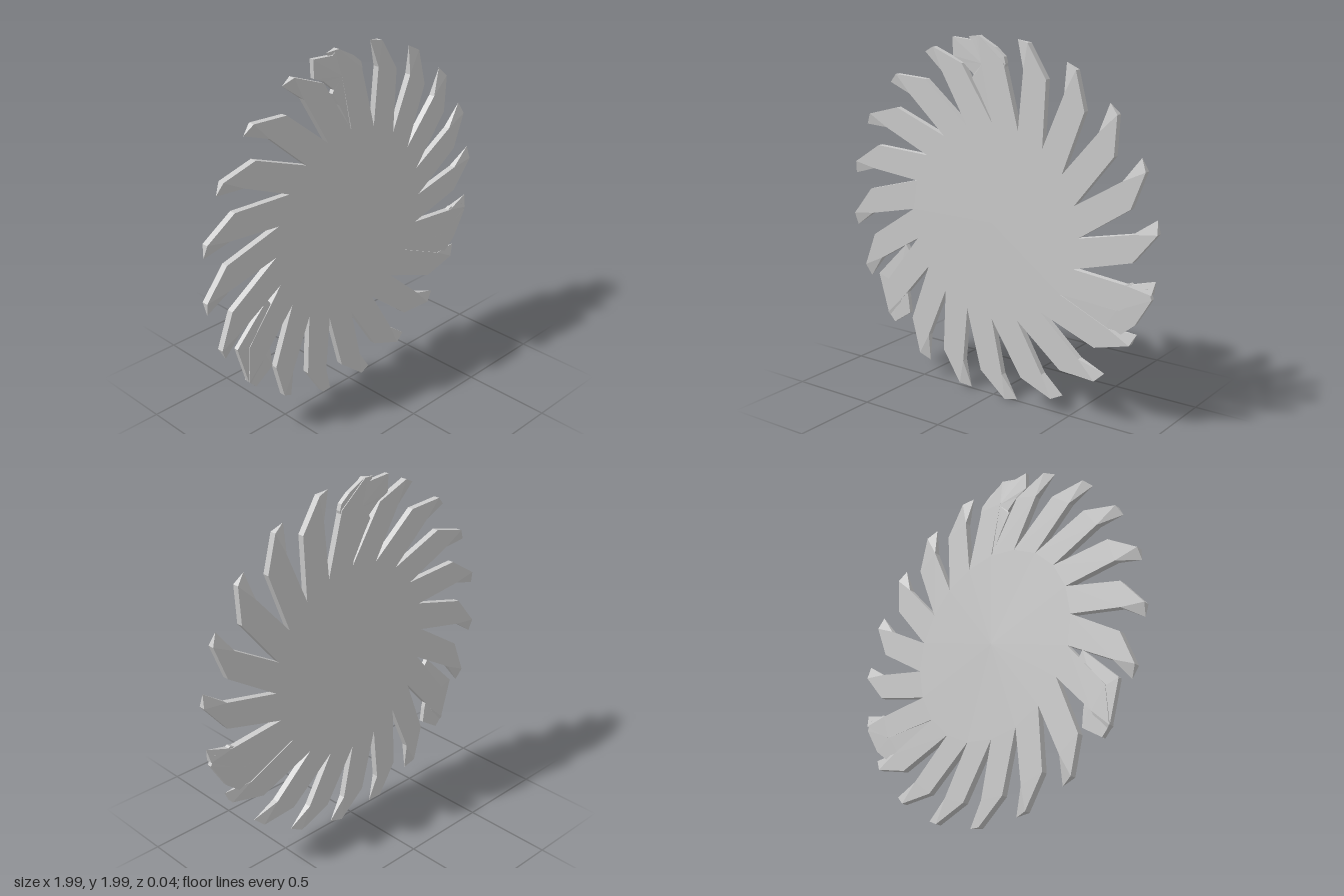
import * as THREE from 'three';

const HALF = 0.018; // half of the plate thickness
const COUNT = 20;
const STEP = (Math.PI * 2) / COUNT;
const material = new THREE.MeshStandardMaterial({ color: 0xcccccc, flatShading: true });

// Flat plate: points [x, y, halfThickness], front triangles, and the outline edges that get a wall
function plate(points, triangles, edges) {
  const pos = [];
  const put = (i, side) => pos.push(points[i][0], points[i][1], points[i][2] * side);
  for (const [a, b, c] of triangles) {
    put(a, 1); put(b, 1); put(c, 1);
    put(a, -1); put(c, -1); put(b, -1);
  }
  for (const [a, b] of edges) {
    put(a, -1); put(b, -1); put(b, 1);
    put(a, -1); put(b, 1); put(a, 1);
  }
  const geometry = new THREE.BufferGeometry();
  geometry.setAttribute('position', new THREE.Float32BufferAttribute(pos, 3));
  geometry.computeVertexNormals();
  return geometry;
}

const polar = (radius, degrees, half = HALF) => {
  const a = THREE.MathUtils.degToRad(degrees);
  return [Math.cos(a) * radius, Math.sin(a) * radius, half];
};

// Plate fanned around a thick middle, with a thinner rim
function fan(outline, centre, rimHalf, walled) {
  const n = outline.length;
  const points = [...outline.map(([x, y]) => [x, y, rimHalf]), [...centre, HALF]];
  const triangles = outline.map((_, i) => [i, (i + 1) % n, n]);
  const edges = walled ? outline.map((_, i) => [i, (i + 1) % n]) : [];
  return plate(points, triangles, edges);
}

function addMesh(parent, name, geometry) {
  const mesh = new THREE.Mesh(geometry, material);
  mesh.name = name;
  parent.add(mesh);
  return mesh;
}

export function createModel() {
  const model = new THREE.Group();
  model.name = 'bladedWheel';

  const wheel = new THREE.Group();
  wheel.name = 'wheel';
  wheel.position.y = 1;
  model.add(wheel);

  // Hub: a flat polygon whose corners are the valleys between the blades
  const valleys = Array.from({ length: COUNT }, (_, i) => polar(0.545, (i * 360) / COUNT));
  addMesh(wheel, 'hub', fan(valleys, [0, 0], HALF, false));

  // Blade: straight shank, then a hooked end that thins to a point
  const blade = plate(
    [
      polar(0.545, -18), polar(0.866, -5), polar(1, 5),
      polar(1, 9.2, 0), polar(0.86, 4.6), polar(0.545, 0),
    ],
    [[0, 1, 4], [0, 4, 5], [1, 2, 4], [2, 3, 4]],
    [[0, 1], [1, 2], [2, 3], [3, 4], [4, 5]]
  );
  for (let i = 0; i < COUNT; i++) {
    addMesh(wheel, `blade${i + 1}`, blade).rotation.z = i * STEP;
  }

  // Ragged clumps bridging some blades
  const clumps = {
    topClump: {
      centre: [-0.06, 1.85],
      outline: [
        [-0.26, 1.98], [-0.256, 1.88], [-0.19, 1.85], [-0.12, 1.79], [-0.13, 1.77], [-0.085, 1.7],
        [0, 1.55], [0.085, 1.86], [0.075, 1.895], [0.02, 1.94], [-0.087, 1.996], [-0.13, 1.97],
      ],
    },
    leftClump: {
      centre: [0.78, 0.66],
      outline: [
        [0.44, 0.68], [0.7, 0.535], [0.8, 0.53], [0.83, 0.555], [0.885, 0.6],
        [0.975, 0.75], [0.95, 0.805], [0.88, 0.8], [0.85, 0.815], [0.8, 0.79],
      ],
    },
    rightClump: {
      centre: [-0.68, 0.53],
      outline: [
        [-0.61, 0.78], [-0.82, 0.57], [-0.8, 0.5], [-0.755, 0.345], [-0.707, 0.293],
        [-0.59, 0.37], [-0.6, 0.46], [-0.61, 0.5], [-0.5, 0.62],
      ],
    },
  };
  for (const [name, { outline, centre }] of Object.entries(clumps)) {
    addMesh(model, name, fan(outline, centre, 0.013, true));
  }

  return model;
}
